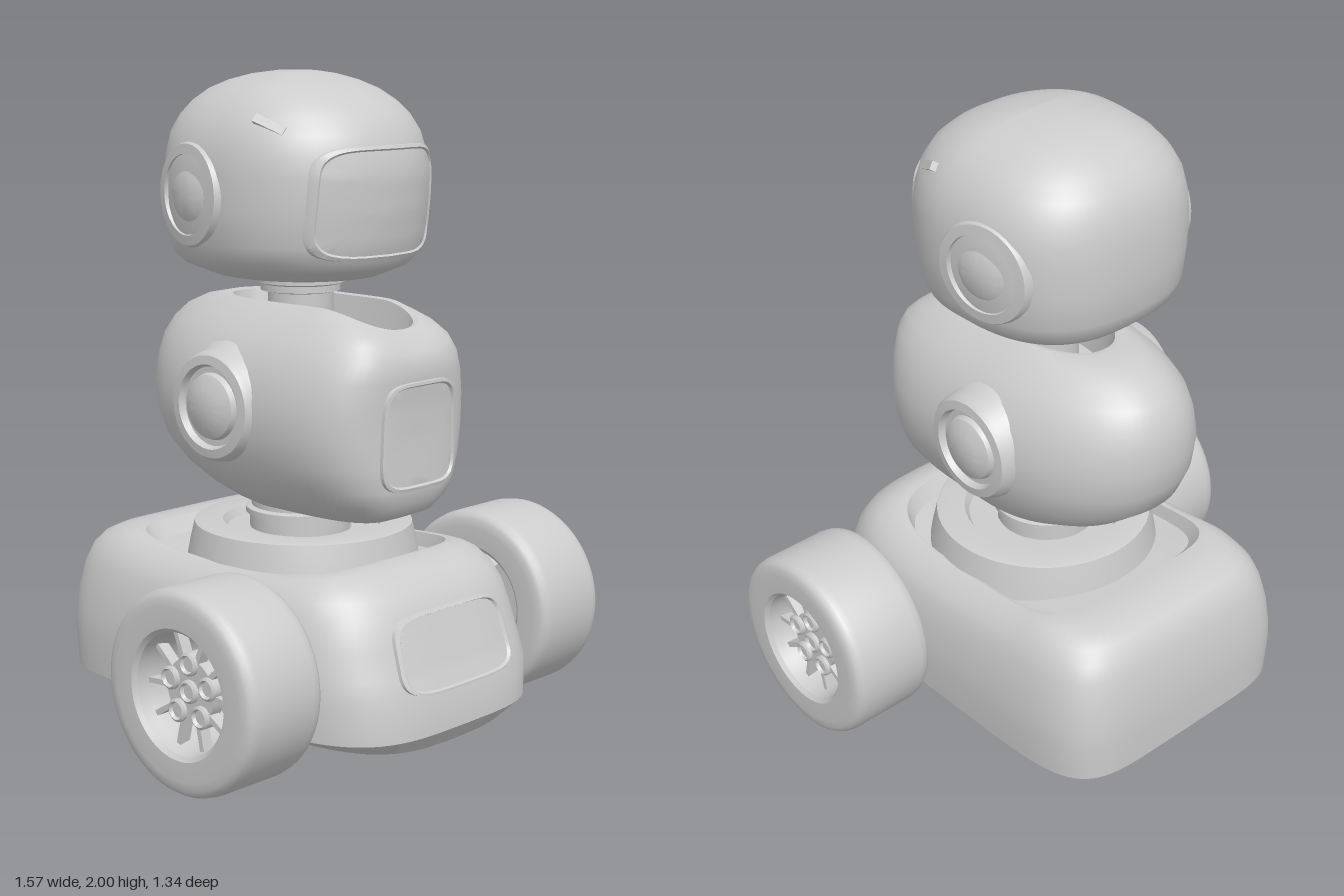
import * as THREE from 'three';
import { toCreasedNormals } from 'three/addons/utils/BufferGeometryUtils.js';

const shell = new THREE.MeshStandardMaterial({ color: 0xcccccc });
shell.name = 'light grey shell';

function add(parent, name, geometry) {
  const mesh = new THREE.Mesh(geometry, shell);
  mesh.name = name;
  parent.add(mesh);
  return mesh;
}

// Stitches equal-length rings of points into a smooth skin with sharp creases.
function skin(rings, flip) {
  const n = rings[0].length, index = [];
  for (let i = 0; i < rings.length - 1; i++) for (let j = 0; j < n; j++) {
    const k = (j + 1) % n, a = i * n + j, b = i * n + k, c = a + n, d = b + n;
    if (flip) index.push(a, b, c, b, d, c);
    else index.push(a, c, b, b, c, d);
  }
  const g = new THREE.BufferGeometry();
  g.setAttribute('position', new THREE.Float32BufferAttribute(rings.flat(2), 3));
  g.setIndex(index);
  return toCreasedNormals(g.toNonIndexed(), 0.65);
}

const power = (v, n) => Math.sign(v) * Math.abs(v) ** (2 / n);
const smooth = THREE.MathUtils.smoothstep;

// Rows are [y, half width, front z, back z]; each ring is a superellipse.
function loft(rows, nFront, nBack, bend = (x, y) => y) {
  const N = 72;
  return skin(rows.map(([y, hx, zf, zb]) => Array.from({ length: N }, (_, j) => {
    const t = j / N * Math.PI * 2, s = Math.sin(t), n = s > 0 ? nFront : nBack;
    const x = hx * power(Math.cos(t), n);
    const z = s > 0 ? zf * power(s, n) : -zb * power(s, n);
    return [x, bend(x, y, z), z];
  })), false);
}

// Front z of a lofted shell at a given x and y.
function frontOf(rows, n) {
  return (x, y) => {
    let i = 0;
    while (i < rows.length - 2 && rows[i + 1][0] < y) i++;
    const p = rows[i], q = rows[i + 1], f = (y - p[0]) / (q[0] - p[0]);
    const hx = p[1] + (q[1] - p[1]) * f, zf = p[2] + (q[2] - p[2]) * f;
    return zf * Math.max(0, 1 - Math.min(1, Math.abs(x) / hx) ** n) ** (1 / n);
  };
}

// Framed panel that follows the front of a shell: raised rim, sunken face.
function panel(front, cy, hx, hy, taper) {
  const N = 64;
  const steps = [[1, -0.012], [0.985, 0.01], [0.93, 0.012], [0.9, 0.004], [0.75, 0.004],
    [0.6, 0.004], [0.45, 0.004], [0.3, 0.004], [0.15, 0.004], [0, 0.004]];
  return skin(steps.map(([s, off]) => Array.from({ length: N }, (_, j) => {
    const t = j / N * Math.PI * 2, v = power(Math.sin(t), 5);
    const x = s * hx * power(Math.cos(t), 5) * (1 - taper * v), y = cy + s * hy * v;
    return [x, y, front(x, y) + off];
  })), true);
}

function lathe(points, segments = 48) {
  const g = new THREE.LatheGeometry(points.map(p => new THREE.Vector2(...p)), segments);
  return toCreasedNormals(g.toNonIndexed(), 0.55);
}

// Round side cap turned around the x axis; profile runs [radius, distance out].
function sideCap(parent, name, profile, side, y, z, tilt) {
  const pivot = new THREE.Group();
  pivot.name = name;
  pivot.position.set(0, y, z);
  pivot.rotation.y = side * tilt;
  add(pivot, name + 'Disc', lathe(profile)).rotation.z = -side * Math.PI / 2;
  parent.add(pivot);
}

// Wheel about the x axis with an open spoked rim.
function wheel(side) {
  const g = new THREE.Group();
  g.name = side > 0 ? 'leftWheel' : 'rightWheel';
  g.position.set(side * 0.64, 0.3, 0.27);
  g.rotation.z = -side * Math.PI / 2;
  add(g, 'tyre', lathe([[0.175, -0.13], [0.19, -0.143], [0.25, -0.145], [0.275, -0.142], [0.288, -0.135],
    [0.296, -0.122], [0.3, -0.1], [0.3, 0.1], [0.296, 0.122], [0.288, 0.135], [0.275, 0.142],
    [0.25, 0.145], [0.19, 0.143], [0.178, 0.13], [0.172, 0.09], [0.165, 0.06], [0.165, -0.06],
    [0.175, -0.13]], 64));
  const hub = new THREE.CylinderGeometry(0.095, 0.095, 0.04, 30);
  add(g, 'hub', hub).position.y = 0.07;
  const lug = lathe([[0.034, 0.05], [0.034, 0.1], [0.027, 0.105], [0.022, 0.095], [0, 0.095]], 16);
  add(g, 'centreLug', lug);
  for (let i = 0; i < 5; i++) {
    const arm = new THREE.Group();
    arm.name = 'spokeArm';
    arm.rotation.y = i * Math.PI * 2 / 5 + (1 - side) * Math.PI / 2;
    add(arm, 'lug', lug).position.x = -0.08;
    for (const s of [-1, 1]) {
      const spoke = add(arm, 'spoke', new THREE.BoxGeometry(0.11, 0.035, 0.016));
      spoke.position.set(-0.12, 0.075, s * 0.04);
      spoke.rotation.y = s * 0.4;
    }
    g.add(arm);
  }
  return g;
}

export function createModel() {
  const model = new THREE.Group();
  model.name = 'wheeledRobot';

  // Wheeled base, with a convex underside and a sunken seat for the collar
  const baseRows = [[0.042, 0, 0, 0], [0.043, 0.2, 0.3, -0.3], [0.048, 0.32, 0.48, -0.46],
    [0.06, 0.42, 0.62, -0.6], [0.12, 0.47, 0.668, -0.667], [0.24, 0.478, 0.662, -0.672],
    [0.3, 0.475, 0.637, -0.67], [0.38, 0.465, 0.61, -0.662], [0.46, 0.447, 0.583, -0.645],
    [0.51, 0.427, 0.55, -0.625], [0.545, 0.4, 0.51, -0.595], [0.567, 0.375, 0.465, -0.55],
    [0.578, 0.355, 0.42, -0.48], [0.576, 0.345, 0.4, -0.44], [0.53, 0.335, 0.37, -0.4], [0.53, 0, 0, 0]];
  const base = new THREE.Group();
  base.name = 'base';
  add(base, 'baseShell', loft(baseRows, 3.8, 6, (x, y, z) => {
    const belly = 0.055 * (x / 0.47) ** 2 * Math.max(0, 1 - (y - 0.042) / 0.078);
    const saddle = 0.035 * Math.max(0, 1 - (z / 0.4) ** 2) * smooth(y, 0.42, 0.56);
    return y + belly - saddle;
  }));
  add(base, 'basePanel', panel(frontOf(baseRows, 3.8), 0.352, 0.247, 0.113, 0.03));
  add(base, 'collar', lathe([[0.37, 0.46], [0.352, 0.56], [0.338, 0.622], [0.325, 0.626], [0.25, 0.626],
    [0.235, 0.6], [0.15, 0.6]]));
  base.add(wheel(1), wheel(-1));
  model.add(base);

  // Waist joint
  const waist = add(model, 'waist', lathe([[0.155, 0.58], [0.155, 0.645], [0.168, 0.648], [0.168, 0.665],
    [0.15, 0.67], [0.15, 0.74]]));
  waist.position.z = -0.015;

  // Torso with an open slot in its top
  const torsoRows = [[0.664, 0, 0, 0], [0.668, 0.09, 0.24, -0.06], [0.685, 0.15, 0.38, -0.13],
    [0.71, 0.195, 0.44, -0.21], [0.75, 0.245, 0.468, -0.31], [0.8, 0.283, 0.478, -0.41],
    [0.87, 0.315, 0.476, -0.495], [0.95, 0.333, 0.474, -0.53], [1.04, 0.335, 0.475, -0.545],
    [1.12, 0.315, 0.482, -0.54], [1.18, 0.29, 0.482, -0.525], [1.23, 0.255, 0.468, -0.495],
    [1.27, 0.215, 0.447, -0.45], [1.3, 0.18, 0.425, -0.38], [1.318, 0.152, 0.405, -0.29],
    [1.314, 0.138, 0.39, -0.265], [1.18, 0.12, 0.36, -0.24], [1.179, 0, 0, 0]];
  const torso = new THREE.Group();
  torso.name = 'torso';
  add(torso, 'torsoShell', loft(torsoRows, 3.6, 2.2, (x, y, z) => {
    const dip = smooth(z, 0.2, 0.4) * Math.max(0, 1 - (x / 0.19) ** 2);
    return y - 0.06 * dip * smooth(y, 1.1, 1.32);
  }));
  add(torso, 'chestPanel', panel(frontOf(torsoRows, 3.6), 0.955, 0.16, 0.162, 0.03));
  model.add(torso);

  // Upper neck
  const neck = add(model, 'neck', lathe([[0.1, 1.16], [0.1, 1.335], [0.122, 1.34], [0.122, 1.36],
    [0.135, 1.365], [0.135, 1.42]]));
  neck.position.z = -0.012;

  // Head
  const headRows = [[1.376, 0, 0, 0], [1.378, 0.14, 0.14, -0.16], [1.39, 0.23, 0.23, -0.26],
    [1.425, 0.31, 0.315, -0.35], [1.45, 0.338, 0.338, -0.378], [1.5, 0.36, 0.353, -0.397],
    [1.6, 0.368, 0.367, -0.405], [1.7, 0.37, 0.372, -0.406], [1.76, 0.364, 0.364, -0.4],
    [1.82, 0.348, 0.345, -0.388], [1.87, 0.32, 0.312, -0.363], [1.91, 0.286, 0.265, -0.328],
    [1.945, 0.24, 0.205, -0.283], [1.97, 0.185, 0.14, -0.228], [1.988, 0.12, 0.075, -0.165],
    [1.998, 0.05, 0.012, -0.09], [2, 0, 0, 0]];
  const head = new THREE.Group();
  head.name = 'head';
  add(head, 'headShell', loft(headRows, 2.1, 2.6));
  add(head, 'facePanel', panel(frontOf(headRows, 2.1), 1.625, 0.266, 0.168, 0.02));
  model.add(head);

  // Ears, shoulder discs and brow slits on both sides
  const ear = [[0.162, 0.25], [0.162, 0.34], [0.15, 0.362], [0.12, 0.366], [0.113, 0.345], [0.09, 0.345],
    [0.086, 0.359], [0.06, 0.372], [0, 0.378]];
  const shoulder = [[0.198, 0.2], [0.19, 0.275], [0.172, 0.3], [0.166, 0.335], [0.155, 0.352],
    [0.128, 0.356], [0.12, 0.335], [0.102, 0.335], [0.096, 0.352], [0.06, 0.37], [0, 0.376]];
  for (const s of [1, -1]) {
    const label = s > 0 ? 'left' : 'right';
    sideCap(head, label + 'Ear', ear, s, 1.64, -0.065, 0.19);
    sideCap(torso, label + 'Shoulder', shoulder, s, 1.015, -0.05, 0);
    const slit = add(head, label + 'BrowSlit', new THREE.BoxGeometry(0.03, 0.026, 0.1));
    slit.position.set(s * 0.291, 1.848, 0.15);
    slit.rotation.set(0.4, -s * 0.4, s * 0.5, 'YXZ');
  }
  return model;
}
